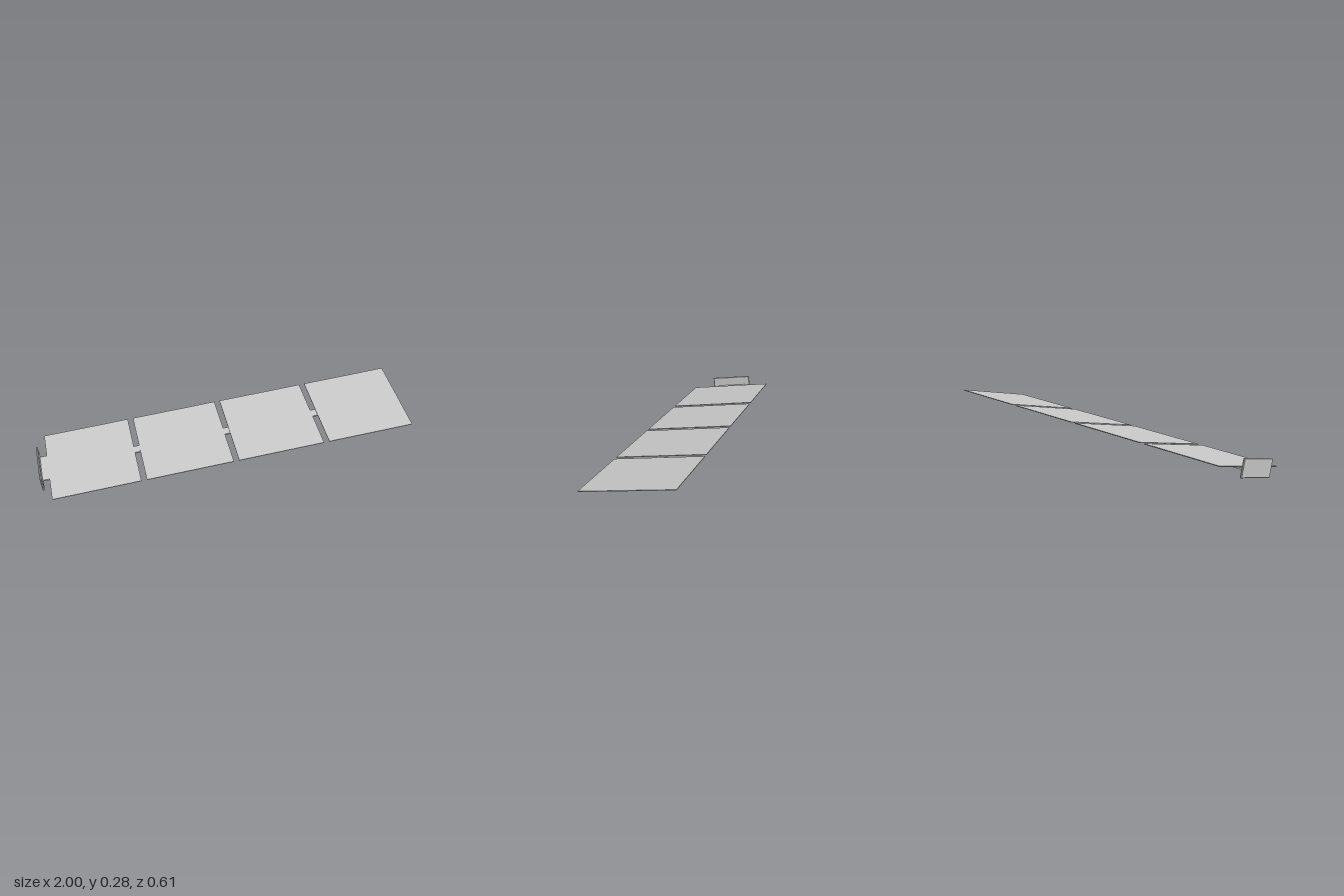
import * as THREE from 'three';

// Four-panel folding array: built flat along x, then tilted as a whole.
export function createModel() {
  const model = new THREE.Group();
  model.name = 'panelArray';
  const material = new THREE.MeshStandardMaterial({ color: 0xcccccc, flatShading: true });

  const addBox = (name, size, position) => {
    const mesh = new THREE.Mesh(new THREE.BoxGeometry(...size), material);
    mesh.name = name;
    mesh.position.set(...position);
    array.add(mesh);
    return mesh;
  };

  // Tilted frame: x runs along the row, y is the panel normal
  const array = new THREE.Group();
  array.name = 'tiltedArray';
  const along = new THREE.Vector3(0.9928, 0.0907, -0.0782).normalize();
  const normal = new THREE.Vector3().crossVectors(new THREE.Vector3(0.086, -0.1505, 0.985), along).normalize();
  const across = new THREE.Vector3().crossVectors(along, normal);
  array.quaternion.setFromRotationMatrix(new THREE.Matrix4().makeBasis(along, normal, across));
  array.position.set(0.018, 0.155, 0);
  model.add(array);

  // Thin panels
  const pitch = 0.49;
  for (let i = 0; i < 4; i++) {
    addBox('panel' + (i + 1), [0.461, 0.004, 0.465], [(i - 1.5) * pitch, 0, 0]);
  }

  // Small hinge blocks bridging each gap from below
  for (let i = 0; i < 3; i++) {
    addBox('hinge' + (i + 1), [0.07, 0.008, 0.046], [(i - 1) * pitch, -0.006, 0]);
  }

  // Mounting arm under the first panel
  addBox('mountArm', [0.155, 0.009, 0.17], [-0.928, -0.0065, 0]);

  // Upright mounting plate at the end, with bevelled edges
  const h = 0.044, w = 0.113, bevel = 0.003;
  const outline = new THREE.Shape([
    new THREE.Vector2(-w, -h), new THREE.Vector2(w, -h),
    new THREE.Vector2(w, h), new THREE.Vector2(-w, h),
  ]);
  const plateGeometry = new THREE.ExtrudeGeometry(outline, {
    depth: 0.004, bevelEnabled: true, bevelSize: bevel, bevelThickness: bevel, bevelSegments: 1,
  });
  plateGeometry.translate(0, 0, -0.002).rotateY(Math.PI / 2);
  const plate = new THREE.Mesh(plateGeometry, material);
  plate.name = 'mountPlate';
  plate.position.set(-1.007, 0.002, 0.003);
  array.add(plate);

  return model;
}
